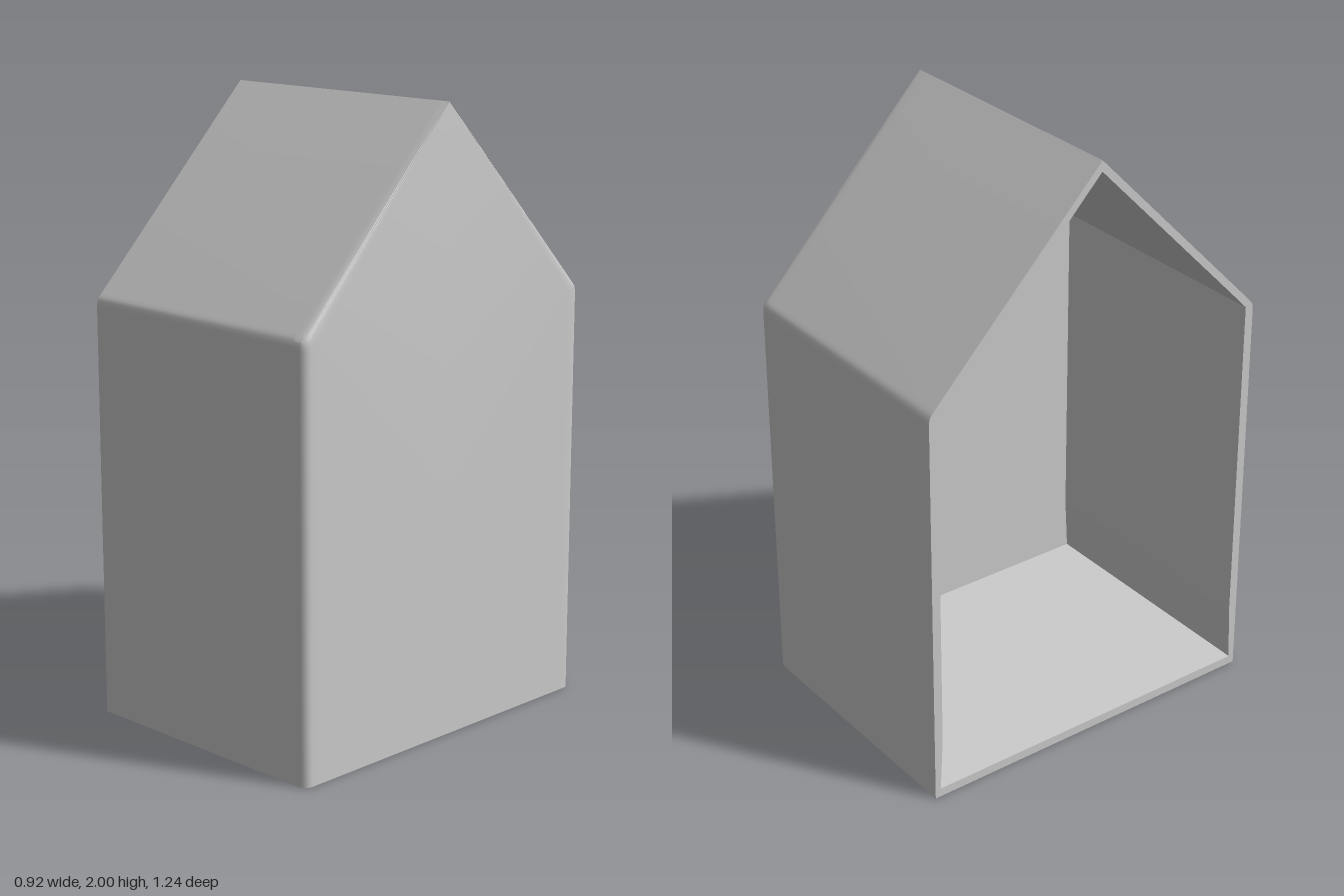
import * as THREE from 'three';
import { toCreasedNormals } from 'three/addons/utils/BufferGeometryUtils.js';

// Half gable profiles as [z, y], from ridge to floor
const OUTER = [[0, 2], [0.6, 1.381], [0.608, 1.372], [0.617, 1.36], [0.62, 1.345], [0.62, 1.33], [0.62, 0.2], [0.62, 0]];
const INNER = [[0, 1.965], [0.57, 1.377], [0.58, 1.366], [0.59, 1.356], [0.59, 0.8], [0.59, 0.23], [0.59, 0.21], [0.6, 0.03]];

const EAVE = 1.36, HALF = 0.62, RADIUS = 0.03, END = 0.46;

// Mirrored ring of a profile at x; the closed gable leans in slightly at the ridge
function ring(profile, x, inset = 0, lean = 0) {
  const full = [...profile, ...profile.slice(1).reverse().map(([z, y]) => [-z, y])];
  return full.map(([z, y]) => [
    x - lean * Math.max(0, (y - EAVE) / (2 - EAVE)),
    y,
    z * (HALF - inset) / HALF,
  ]);
}

// Skin a list of rings and close both ends with fans
function loft(rings, startCentre, endCentre) {
  const n = rings[0].length;
  const positions = [...rings.flat(), startCentre, endCentre].flat();
  const index = [];
  const last = (rings.length - 1) * n;
  const start = rings.length * n;
  for (let i = 0; i < n; i++) {
    const j = (i + 1) % n;
    for (let s = 0; s < rings.length - 1; s++) {
      const a = s * n + i, b = s * n + j, c = b + n, d = a + n;
      index.push(a, d, b, b, d, c);
    }
    index.push(start, i, j);
    index.push(start + 1, last + j, last + i);
  }
  const geometry = new THREE.BufferGeometry();
  geometry.setAttribute('position', new THREE.Float32BufferAttribute(positions, 3));
  geometry.setIndex(index);
  return toCreasedNormals(geometry, 0.45);
}

export function createModel() {
  const group = new THREE.Group();
  group.name = 'gabledShelter';

  // Closed gable end with rounded corners, fading out towards the ridge
  const rings = [ring(OUTER, END, 0.06, 0.01)];
  const steps = 5;
  for (let k = steps; k >= 0; k--) {
    const angle = (k / steps) * Math.PI / 2;
    rings.push(ring(OUTER, END - RADIUS + RADIUS * Math.sin(angle), RADIUS * (1 - Math.cos(angle)), 0.01 * k / steps));
  }
  // Long outer walls and roof, open rim, then the hollow inside
  rings.push(ring(OUTER, 0.41), ring(OUTER, -END), ring(INNER, -END), ring(INNER, 0.43));

  const shell = new THREE.Mesh(
    loft(rings, [END, 0.8, 0], [0.43, 0.8, 0]),
    new THREE.MeshStandardMaterial({ color: 0xcccccc }),
  );
  shell.name = 'hollowHouseShell';
  group.add(shell);
  return group;
}
